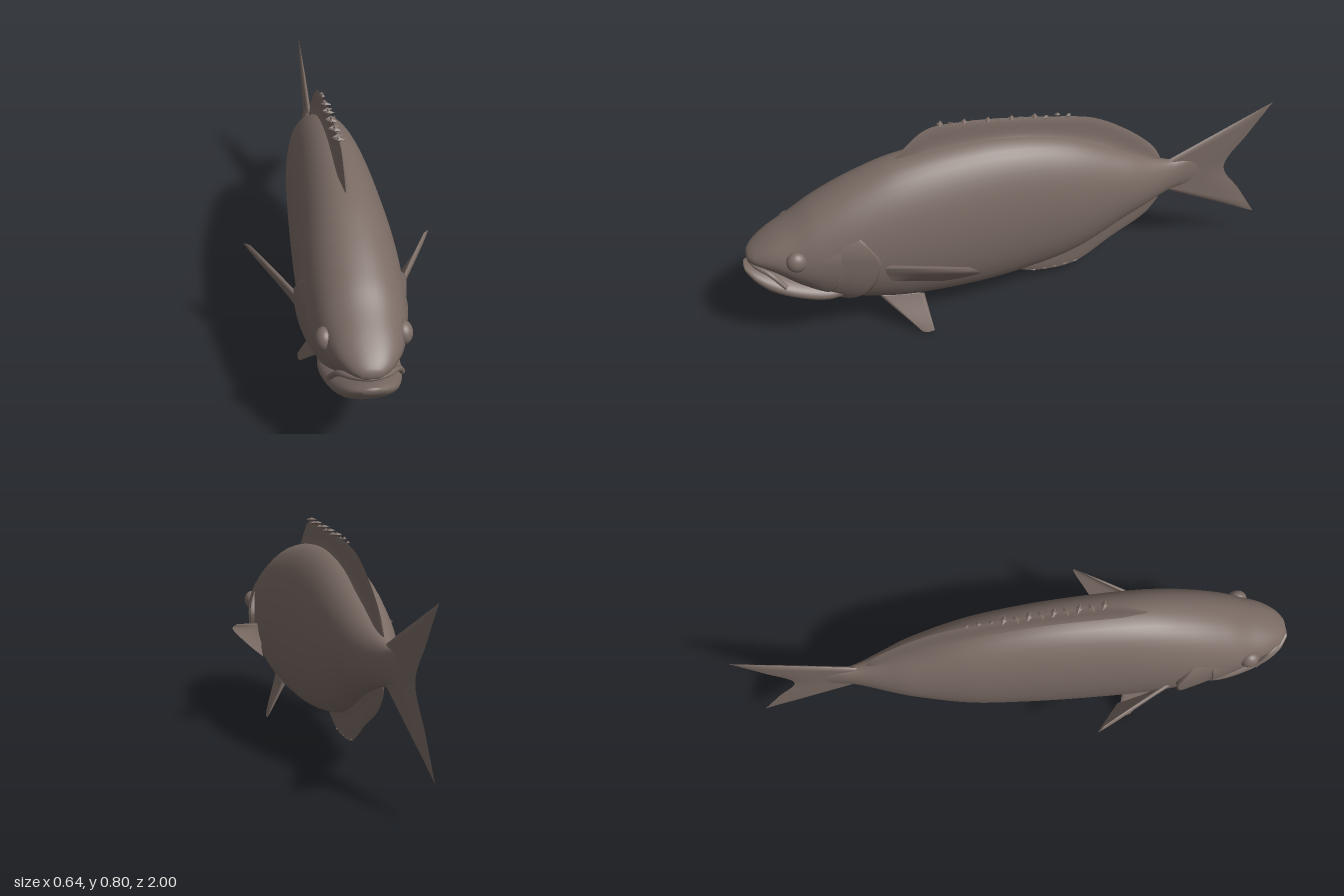
import * as THREE from 'three';
import { mergeVertices, mergeGeometries } from 'three/addons/utils/BufferGeometryUtils.js';

const skin = new THREE.MeshStandardMaterial({ color: 0x7a6b64, side: THREE.DoubleSide });
skin.name = 'brown skin';

const V = (p) => new THREE.Vector3(...p);

// Surface from a rule fn(u, v) -> [x, y, z]
function grid(nu, nv, fn, flip = false) {
  const pos = [], idx = [];
  for (let i = 0; i <= nu; i++)
    for (let j = 0; j <= nv; j++) pos.push(...fn(i / nu, j / nv));
  for (let i = 0; i < nu; i++)
    for (let j = 0; j < nv; j++) {
      const a = i * (nv + 1) + j, b = a + 1, c = a + nv + 1, d = c + 1;
      if (flip) idx.push(a, b, c, b, d, c);
      else idx.push(a, c, b, b, c, d);
    }
  let g = new THREE.BufferGeometry();
  g.setAttribute('position', new THREE.Float32BufferAttribute(pos, 3));
  g.setIndex(idx);
  g = mergeVertices(g, 1e-5);
  g.computeVertexNormals();
  return g;
}

// Smooth interpolation through rows [key, ...values] with falling keys
function sample(rows, key) {
  const n = rows.length - 1;
  let i = 0;
  while (i < n - 1 && key < rows[i + 1][0]) i++;
  const h = rows[i + 1][0] - rows[i][0];
  const t = THREE.MathUtils.clamp((key - rows[i][0]) / h, 0, 1);
  return rows[0].slice(1).map((_, k) => {
    const slope = (j) => {
      const a = rows[Math.max(j - 1, 0)], b = rows[Math.min(j + 1, n)];
      return (b[k + 1] - a[k + 1]) / (b[0] - a[0]);
    };
    const p = rows[i][k + 1], q = rows[i + 1][k + 1], t2 = t * t, t3 = t2 * t;
    return p * (2 * t3 - 3 * t2 + 1) + q * (3 * t2 - 2 * t3)
      + h * (slope(i) * (t3 - 2 * t2 + t) + slope(i + 1) * (t3 - t2));
  });
}

// Rows: z, top y, bottom y, half width
const BODY = [
  [0.985, 0.41, 0.385, 0.025], [0.96, 0.435, 0.37, 0.06], [0.9, 0.475, 0.335, 0.1],
  [0.82, 0.52, 0.26, 0.13], [0.74, 0.57, 0.2, 0.15], [0.6, 0.635, 0.145, 0.165],
  [0.44, 0.685, 0.105, 0.168], [0.2, 0.707, 0.09, 0.16], [0, 0.695, 0.105, 0.15],
  [-0.2, 0.645, 0.15, 0.135], [-0.4, 0.55, 0.25, 0.1], [-0.5, 0.495, 0.29, 0.068],
  [-0.6, 0.455, 0.325, 0.032], [-0.68, 0.45, 0.335, 0.014], [-0.76, 0.42, 0.36, 0.003],
];
const JAW = [
  [1, 0.365, 0.345, 0.025], [0.97, 0.36, 0.305, 0.065], [0.92, 0.345, 0.26, 0.095],
  [0.84, 0.315, 0.225, 0.118], [0.74, 0.29, 0.198, 0.13], [0.66, 0.28, 0.2, 0.12],
];

// Point on an oval cross-section at angle a, scaled about its middle
function onSection(rows, z, a, scale = 1) {
  const [top, bottom, w] = sample(rows, z);
  const c = Math.cos(a);
  return [
    Math.sign(c) * Math.abs(c) ** 0.92 * w * scale,
    (top + bottom) / 2 + Math.sin(a) * (top - bottom) / 2 * scale, z,
  ];
}

function loft(rows, steps) {
  const z0 = rows[0][0], z1 = rows[rows.length - 1][0];
  return grid(steps, 48, (u, v) =>
    onSection(rows, z0 + (z1 - z0) * u ** 1.4, (v % 1) * Math.PI * 2, u === 0 || u === 1 ? 0 : 1));
}

// Two-sided tapering fin spanned between a base curve and an outer curve
function fin(base, outer, thick, flare = 0, mirror = 1) {
  const m = (p) => V([p[0] * mirror, p[1], p[2]]);
  const cb = new THREE.CatmullRomCurve3(base.map(m));
  const co = new THREE.CatmullRomCurve3(outer.map(m));
  const n = co.getPoint(0.5).sub(cb.getPoint(0.5))
    .cross(cb.getPoint(1).sub(cb.getPoint(0))).normalize();
  const side = (s) => grid(48, 10, (u, v) => {
    const round = Math.min(1, 12 * u, 12 * (1 - u)) ** 0.5;
    const t = (thick * (1 - v ** 5) + flare * (1 - v) ** 4) * round;
    return cb.getPoint(u).lerp(co.getPoint(u), v).addScaledVector(n, s * t).toArray();
  }, s < 0);
  return mergeGeometries([side(1), side(-1)]);
}
const flat = (pts) => pts.map(([z, y]) => [0, y, z]);

// Cheek plate: a patch lifted off the body, with a rim along its rear edge
function plate(edge, length, lift, mirror) {
  const hi = edge[0][0], lo = edge[edge.length - 1][0];
  return grid(12, 28, (u, v) => {
    const a = hi + (lo - hi) * v;
    const k = Math.min(u / 0.9, 1);
    const z = sample(edge, a)[0] + length * (1 - k);
    const fade = Math.min(1, v * 6);
    const s = u === 1 ? 0.97 : 0.99 + (lift * Math.cos(a) + 0.025) * k * fade;
    const p = onSection(BODY, z, a, s);
    return [p[0] * mirror, p[1], p[2]];
  }, mirror < 0);
}

export function createModel() {
  const model = new THREE.Group();
  model.name = 'fish';
  const add = (name, geometry, parent = model) => {
    const mesh = new THREE.Mesh(geometry, skin);
    mesh.name = name;
    parent.add(mesh);
    return mesh;
  };

  add('body', loft(BODY, 80));
  add('lowerJaw', loft(JAW, 30));

  // Lip along the edge of the upper jaw
  const lip = [[-0.112, 0.31, 0.87], [-0.088, 0.365, 0.918], [-0.05, 0.38, 0.958], [0, 0.385, 0.975],
    [0.05, 0.38, 0.958], [0.088, 0.365, 0.918], [0.112, 0.31, 0.87]];
  add('upperLip', new THREE.TubeGeometry(new THREE.CatmullRomCurve3(lip.map(V)), 40, 0.009, 8));

  // Fins on the centre line
  add('dorsalFin', fin(
    flat([[0.44, 0.67], [0.3, 0.685], [0.15, 0.69], [0, 0.68], [-0.15, 0.645], [-0.3, 0.59], [-0.42, 0.52], [-0.5, 0.475], [-0.55, 0.45]]),
    flat([[0.44, 0.69], [0.33, 0.78], [0.2, 0.787], [0.03, 0.77], [-0.14, 0.742], [-0.28, 0.708], [-0.42, 0.625], [-0.52, 0.535], [-0.555, 0.475]]),
    0.007, 0.016));
  add('analFin', fin(
    flat([[0.05, 0.11], [-0.1, 0.14], [-0.25, 0.19], [-0.4, 0.265], [-0.5, 0.31], [-0.55, 0.33]]),
    flat([[0.04, 0.09], [-0.05, 0.052], [-0.22, 0.048], [-0.38, 0.145], [-0.51, 0.225], [-0.56, 0.29]]),
    0.007, 0.01));
  add('tailFin', fin(
    flat([[-0.58, 0.455], [-0.58, 0.42], [-0.58, 0.39], [-0.58, 0.36], [-0.58, 0.325]]),
    flat([[-0.998, 0.637], [-0.91, 0.51], [-0.828, 0.38], [-0.91, 0.25], [-0.99, 0.122]]),
    0.009));

  // Small spines crossing the dorsal and anal fin edges
  const spines = new THREE.Group();
  spines.name = 'dorsalSpines';
  model.add(spines);
  for (let i = 0; i < 12; i++) {
    const z = 0.28 - i * 0.042;
    const spine = add('spine', new THREE.OctahedronGeometry(1), spines);
    spine.scale.set(i < 9 ? 0.021 : 0.009, 0.008, 0.011);
    spine.position.set(0, 0.795 - i * 0.0045 - (i % 2) * 0.006, z);
    spine.rotation.y = (i % 2 ? 1 : -1) * 0.35;
  }
  for (let i = 0; i < 5; i++) {
    const notch = add('analSpine', new THREE.OctahedronGeometry(1));
    notch.scale.set(0.006, 0.007, 0.014);
    notch.position.set(0, 0.052 - 0.004 * Math.sin(i), -0.06 - i * 0.042);
  }

  // Paired parts
  for (const [side, s] of [['left', 1], ['right', -1]]) {
    add(side + 'PectoralFin', fin(
      [[0.155, 0.36, 0.54], [0.155, 0.335, 0.53], [0.155, 0.31, 0.52], [0.155, 0.285, 0.51]],
      [[0.3, 0.403, 0.27], [0.322, 0.392, 0.24], [0.265, 0.33, 0.28], [0.18, 0.256, 0.345]],
      0.006, 0.003, s));
    add(side + 'PelvicFin', fin(
      [[0.075, 0.15, 0.55], [0.08, 0.14, 0.47], [0.085, 0.13, 0.39]],
      [[0.155, 0.006, 0.42], [0.159, 0.001, 0.4], [0.158, 0.003, 0.375]],
      0.005, 0.004, s));
    add(side + 'GillCover', plate(
      [[0.45, 0.61], [0.2, 0.572], [0, 0.55], [-0.46, 0.59], [-1, 0.68], [-1.57, 0.745]], 0.13, 0.08, s));
    add(side + 'Cheek', plate(
      [[0.35, 0.672], [0, 0.685], [-0.4, 0.7], [-0.8, 0.745]], 0.08, 0.015, s));
    const eye = add(side + 'Eye', new THREE.SphereGeometry(1, 28, 20));
    eye.scale.set(0.03, 0.038, 0.036);
    eye.position.set(0.119 * s, 0.42, 0.822);
  }
  return model;
}
